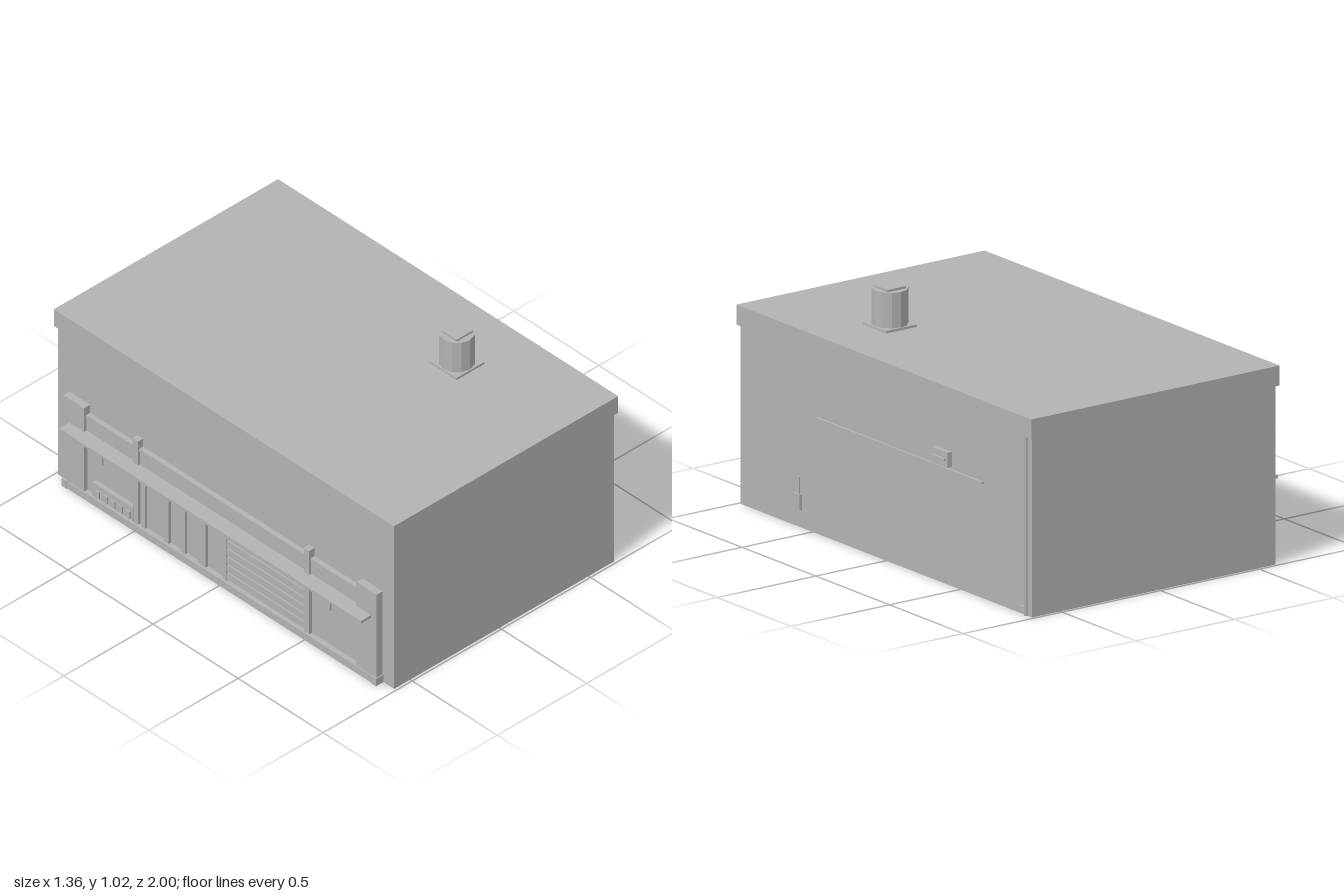
import * as THREE from 'three';

export function createModel() {
  const model = new THREE.Group();
  model.name = 'shopBuilding';
  const grey = new THREE.MeshStandardMaterial({ color: 0xb3b3b3 });
  grey.name = 'plain grey';

  const add = (name, geometry, parent = model) => {
    const mesh = new THREE.Mesh(geometry, grey);
    mesh.name = name;
    parent.add(mesh);
    return mesh;
  };
  // Box given by its low and high limits on each axis
  const box = (name, x0, x1, y0, y1, z0, z1, parent = model) => {
    const mesh = add(name, new THREE.BoxGeometry(x1 - x0, y1 - y0, z1 - z0), parent);
    mesh.position.set((x0 + x1) / 2, (y0 + y1) / 2, (z0 + z1) / 2);
    return mesh;
  };
  const group = (name) => {
    const g = new THREE.Group();
    g.name = name;
    model.add(g);
    return g;
  };

  // Main volume
  box('walls', -0.59, 0.642, 0, 0.76, -0.988, 0.988);
  box('roofSlab', -0.603, 0.655, 0.76, 0.845, -1, 1);

  // Roof vent
  const vent = group('roofVent');
  box('ventBase', 0.253, 0.411, 0.845, 0.856, 0.312, 0.47, vent);
  const drum = new THREE.CylinderGeometry(0.075, 0.075, 0.15, 12).toNonIndexed();
  drum.computeVertexNormals();
  add('ventDrum', drum, vent).position.set(0.332, 0.931, 0.391);
  box('ventCap', 0.286, 0.378, 1.004, 1.016, 0.345, 0.437, vent);

  // Services on the +x wall
  const services = group('wallServices');
  box('unitBox', 0.64, 0.666, 0.506, 0.571, -0.446, -0.338, services);
  box('unitLouvre', 0.664, 0.677, 0.535, 0.545, -0.436, -0.35, services);
  box('cableRail', 0.64, 0.653, 0.488, 0.496, -0.66, 0.465, services);
  box('meterBox', 0.64, 0.655, 0.075, 0.142, 0.573, 0.616, services);
  box('meterConduit', 0.64, 0.648, 0.14, 0.213, 0.585, 0.591, services);
  const pipe = add('drainPipe', new THREE.CylinderGeometry(0.007, 0.007, 0.76, 8), services);
  pipe.position.set(0.648, 0.38, -0.953);
  box('drainSpout', 0.64, 0.655, 0.028, 0.038, -0.953, -0.918, services);

  // Shop front on the -x wall
  const shop = group('shopFront');
  box('backing', -0.604, -0.588, 0.005, 0.42, -0.92, 0.92, shop);
  box('plinth', -0.628, -0.59, 0, 0.035, -0.91, 0.91, shop);
  box('fascia', -0.609, -0.59, 0.338, 0.41, -0.8, 0.8, shop);
  box('topRail', -0.613, -0.59, 0.405, 0.42, -0.8, 0.8, shop);
  box('canopy', -0.68, -0.6, 0.326, 0.339, -0.887, 0.887, shop);

  for (const s of [-1, 1]) {
    const span = (a, b) => (s > 0 ? [a, b] : [-b, -a]);
    box('endPilaster', -0.624, -0.59, 0, 0.461, ...span(0.8, 0.92), shop);
    box('pilasterFoot', -0.632, -0.59, 0, 0.038, ...span(0.895, 0.925), shop);
    box('post', -0.62, -0.59, 0.03, 0.461, ...span(0.488, 0.52), shop);
    box('hangingHook', -0.65, -0.642, 0.255, 0.328, ...span(0.666, 0.674), shop);
  }

  // Door and window uprights
  for (const [z, w] of [[-0.46, 0.02], [-0.325, 0.03], [-0.225, 0.02], [-0.115, 0.045], [0.02, 0.02]]) {
    box('upright', -0.617, -0.59, 0.03, 0.328, z - w / 2, z + w / 2, shop);
  }

  // Slatted shutter
  for (let i = 0; i < 7; i++) {
    const y = 0.04 + i * 0.041;
    box('shutterSlat', -0.613, -0.59, y, y + 0.034, 0.03, 0.488, shop);
  }

  // Planter under the end window
  box('planterBox', -0.624, -0.59, 0.045, 0.112, -0.75, -0.51, shop);
  for (let i = 0; i < 5; i++) {
    const z = -0.73 + i * 0.045;
    box('planterSlat', -0.63, -0.62, 0.05, 0.085, z, z + 0.025, shop);
  }

  return model;
}
